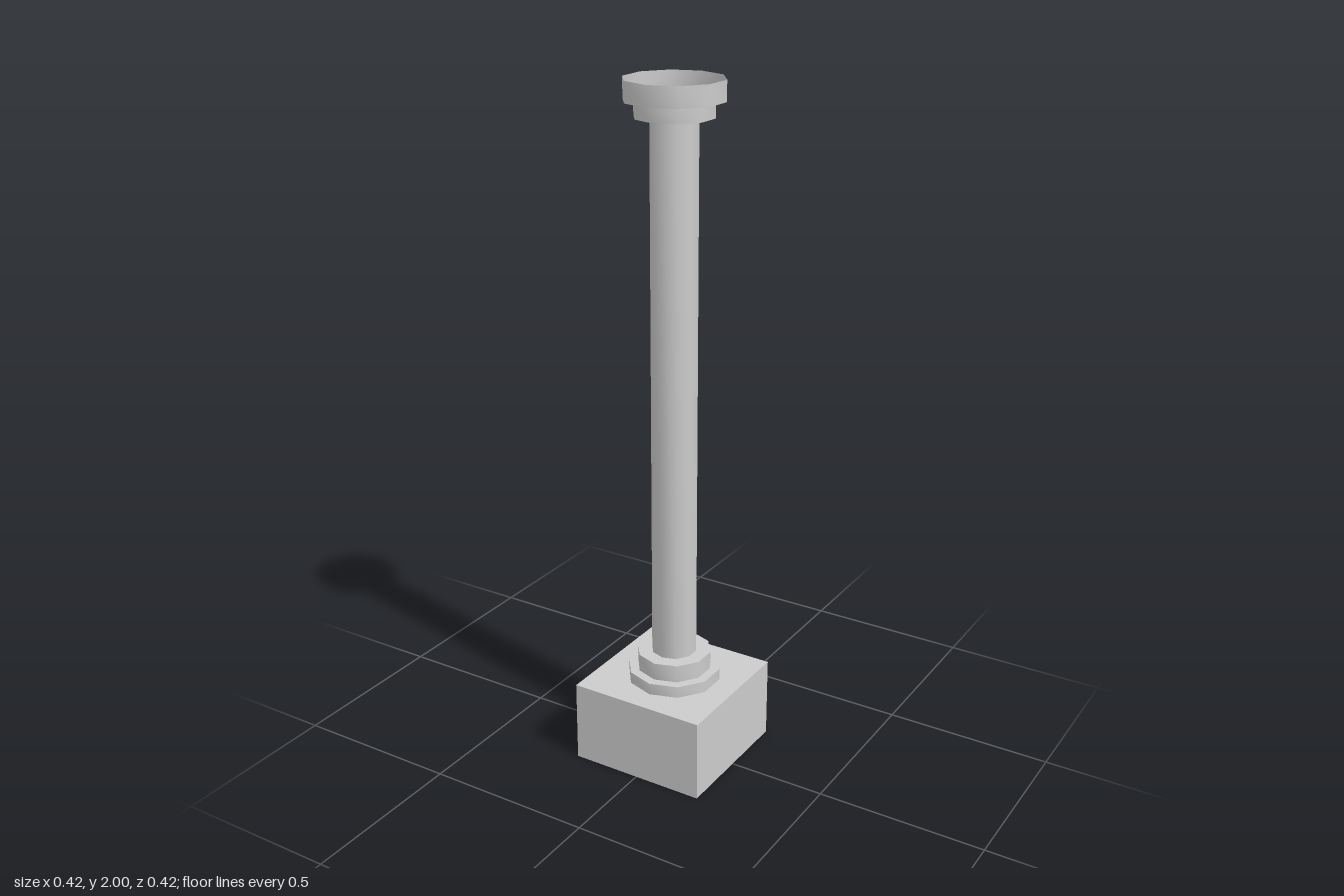
import * as THREE from 'three';
import { toCreasedNormals } from 'three/addons/utils/BufferGeometryUtils.js';

const SIDES = 10;
const SHAFT = 0.067, COLLAR = 0.11, FLANGE = 0.139;

export function createModel() {
  const group = new THREE.Group();
  const solid = new THREE.MeshStandardMaterial({ color: 0xcccccc });
  const shell = new THREE.MeshStandardMaterial({ color: 0xcccccc, side: THREE.DoubleSide });

  // Ten-sided open shell turned from [radius, height] points, listed bottom to top
  function turned(name, profile) {
    const points = profile.map(([r, y]) => new THREE.Vector2(r, y));
    const geometry = toCreasedNormals(new THREE.LatheGeometry(points, SIDES), 0.8);
    const mesh = new THREE.Mesh(geometry, shell);
    mesh.name = name;
    mesh.position.x = 0.003;
    group.add(mesh);
  }

  // Square block under the column
  const plinth = new THREE.Mesh(new THREE.BoxGeometry(0.416, 0.245, 0.416), solid);
  plinth.name = 'plinth';
  plinth.position.y = 0.1225;
  group.add(plinth);

  // Stepped base rings
  turned('columnBase', [
    [FLANGE - 0.001, 0.245], [FLANGE - 0.001, 0.28],
    [COLLAR, 0.28], [COLLAR, 0.333], [SHAFT, 0.333],
  ]);

  // Long hollow shaft
  turned('shaft', [[SHAFT, 0.333], [SHAFT, 1.9]]);

  // Stepped capital, open at the top
  turned('capital', [
    [SHAFT, 1.9], [COLLAR, 1.9], [COLLAR, 1.943],
    [FLANGE, 1.943], [FLANGE, 2],
  ]);

  return group;
}
